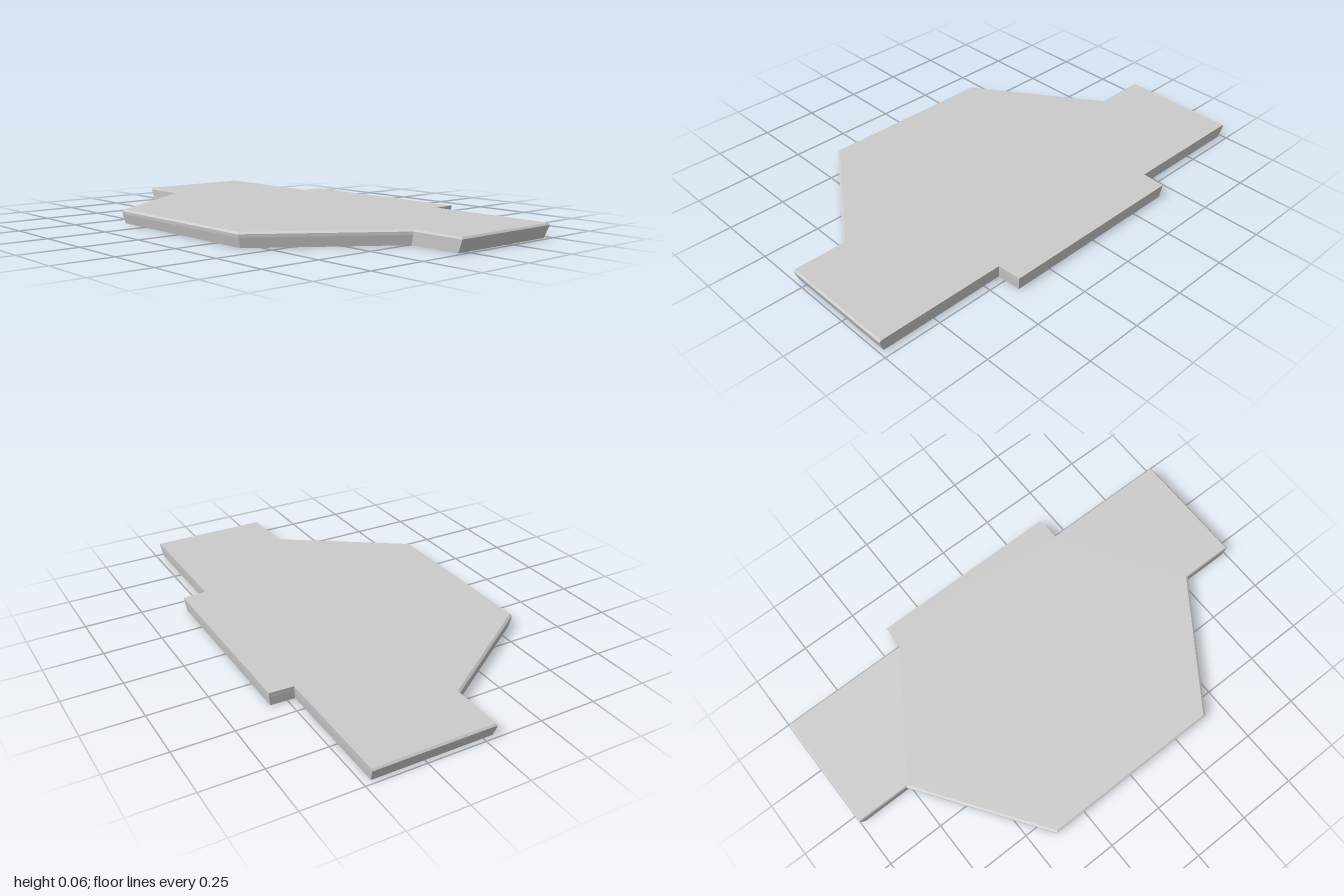
import * as THREE from 'three';

// Right half of the outline as [x, z], from the front corner round to the back
const half = [[0.4, 0.578], [0.768, 0.046], [1, 0.046], [1, -0.475], [0.43, -0.475], [0.425, -0.578]];
const outline = [...half, ...half.slice().reverse().map(([x, z]) => [-x, z])];
const N = outline.length;

// Height of each ring, with the inset of each kind of edge
const levels = [
  { y: 0, front: 0.014, slant: 0.01, notch: 0.004, end: 0.02, back: 0.008 },
  { y: 0.04, front: 0.002, slant: 0.001, notch: 0.001, end: 0.004, back: 0.002 },
  { y: 0.053, front: 0, slant: 0, notch: 0, end: 0, back: 0.001 },
  { y: 0.061, front: 0.007, slant: 0.009, notch: 0.004, end: 0.006, back: 0 },
];
const edgeKind = ['slant', 'notch', 'end', 'back', 'back', 'back', 'back', 'back', 'end', 'notch', 'slant', 'front'];

// Outward normal of outline edge i
function edgeNormal(i) {
  const a = outline[i], b = outline[(i + 1) % N];
  const dx = b[0] - a[0], dz = b[1] - a[1], len = Math.hypot(dx, dz);
  return [-dz / len, dx / len];
}

// Outline with every edge moved inwards by its own inset
function insetRing(level) {
  return outline.map(([x, z], i) => {
    const p = (i + N - 1) % N;
    const n1 = edgeNormal(p), n2 = edgeNormal(i);
    const d1 = -level[edgeKind[p]], d2 = -level[edgeKind[i]];
    const det = n1[0] * n2[1] - n1[1] * n2[0];
    return [x + (d1 * n2[1] - d2 * n1[1]) / det, level.y, z + (n1[0] * d2 - n2[0] * d1) / det];
  });
}

function toMesh(name, pos, material) {
  const geometry = new THREE.BufferGeometry();
  geometry.setAttribute('position', new THREE.Float32BufferAttribute(pos.flat(), 3));
  geometry.computeVertexNormals();
  const mesh = new THREE.Mesh(geometry, material);
  mesh.name = name;
  return mesh;
}

export function createModel() {
  const group = new THREE.Group();
  const material = new THREE.MeshStandardMaterial({ color: 0xcccccc, flatShading: true, side: THREE.DoubleSide });
  const rings = levels.map(insetRing);

  // Thin skirt that leans inwards to the floor, with a bevelled rim
  const skirt = [];
  for (let k = 0; k < rings.length - 1; k++) {
    const lo = rings[k], hi = rings[k + 1];
    for (let i = 0; i < N; i++) {
      const j = (i + 1) % N;
      skirt.push(lo[i], lo[j], hi[j], lo[i], hi[j], hi[i]);
    }
  }
  group.add(toMesh('skirt', skirt, material));

  // Flat top sheet; the underside is left open
  const top = rings[rings.length - 1];
  const flat = top.map(([x, , z]) => new THREE.Vector2(x, -z));
  const sheet = THREE.ShapeUtils.triangulateShape(flat, []).flatMap((face) => face.map((i) => top[i]));
  group.add(toMesh('topSheet', sheet, material));

  return group;
}
